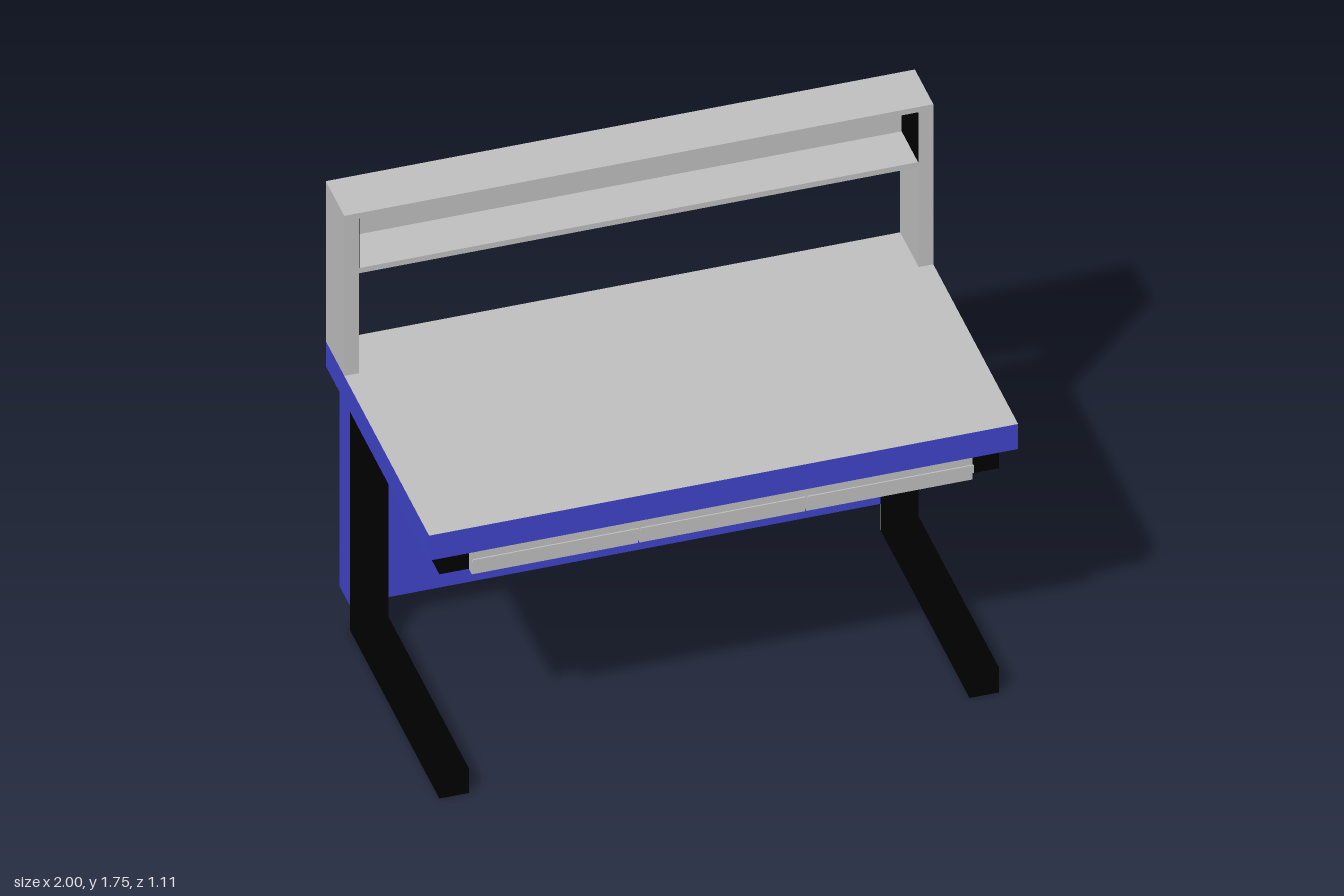
import * as THREE from 'three';

export function createModel() {
  const model = new THREE.Group();
  model.name = 'workDesk';

  const paint = (name, color) => {
    const m = new THREE.MeshStandardMaterial({ color });
    m.name = name;
    return m;
  };
  const grey = paint('lightGrey', 0xc0c0c0);
  const blue = paint('blue', 0x3f44c9);
  const black = paint('black', 0x000000);

  // Box given by its minimum and maximum corners
  const box = (name, material, [x0, y0, z0], [x1, y1, z1], parent = model) => {
    const geometry = new THREE.BoxGeometry(x1 - x0, y1 - y0, z1 - z0);
    geometry.translate((x0 + x1) / 2, (y0 + y1) / 2, (z0 + z1) / 2);
    const mesh = new THREE.Mesh(geometry, material);
    mesh.name = name;
    parent.add(mesh);
    return mesh;
  };

  // Worktop: blue edges, grey top and underside
  const back = -0.5525, front = -0.355;
  box('worktop', [blue, blue, grey, grey, blue, blue], [-1, 1.005, back], [1, 1.106, 0.5525]);

  // Modesty panel behind the legs
  box('backPanel', blue, [-0.953, 0.105, back], [0.953, 1.005, -0.45]);

  // C-shaped legs: profile in z and y, extruded across x
  const profile = new THREE.Shape([
    [-0.45, 0], [0.505, 0], [0.505, 0.1], [-0.355, 0.1],
    [-0.355, 0.905], [0.505, 0.905], [0.505, 1.005], [-0.45, 1.005],
  ].map(([z, y]) => new THREE.Vector2(z, y)));
  const legGeometry = new THREE.ExtrudeGeometry(profile, { depth: 0.1, bevelEnabled: false });
  legGeometry.rotateY(-Math.PI / 2).translate(0.05, 0, 0);
  for (const [side, x] of [['left', 0.9], ['right', -0.9]]) {
    const leg = new THREE.Mesh(legGeometry, black);
    leg.name = side + 'Leg';
    leg.position.x = x;
    model.add(leg);
    // Grey plate on the back of the foot
    box(side + 'HeelPlate', grey, [x - 0.05, 0, -0.452], [x + 0.05, 0.104, -0.45]);
  }

  // Drawer case with three fronts and T-section pull rails
  box('drawerCase', grey, [-0.85, 0.905, -0.45], [0.85, 1.004, 0.505]);
  const drawerWidth = 1.7 / 3;
  for (let i = 0; i < 3; i++) {
    const drawer = new THREE.Group();
    drawer.name = 'drawer' + (i + 1);
    model.add(drawer);
    const x0 = -0.85 + i * drawerWidth + (i > 0 ? 0.003 : 0);
    const x1 = -0.85 + (i + 1) * drawerWidth - (i < 2 ? 0.003 : 0);
    box('drawerFront', grey, [x0, 0.905, 0.505], [x1, 1.004, 0.537], drawer);
    box('pullStem', grey, [x0, 0.954, 0.537], [x1, 0.96, 0.547], drawer);
    box('pullLip', grey, [x0, 0.942, 0.547], [x1, 0.973, 0.552], drawer);
  }

  // Overhead shelf on two posts
  const shelf = new THREE.Group();
  shelf.name = 'overheadShelf';
  model.add(shelf);
  for (const [side, s] of [['left', 1], ['right', -1]]) {
    const span = (a, b) => (s > 0 ? [a, b] : [-b, -a]);
    const [p0, p1] = span(0.95, 1);
    box(side + 'Post', grey, [p0, 1.105, back], [p1, 1.731, front], shelf);
    // Dark lining inside the end of the shelf
    const [l0, l1] = span(0.948, 0.95);
    box(side + 'EndLining', black, [l0, 1.53, -0.53], [l1, 1.731, front - 0.001], shelf);
  }
  box('shelfTop', grey, [-1, 1.731, back], [1, 1.752, front], shelf);
  box('shelfBottom', grey, [-0.95, 1.509, back], [0.95, 1.53, front], shelf);
  box('shelfBack', grey, [-0.95, 1.53, back], [0.95, 1.731, -0.53], shelf);

  return model;
}
